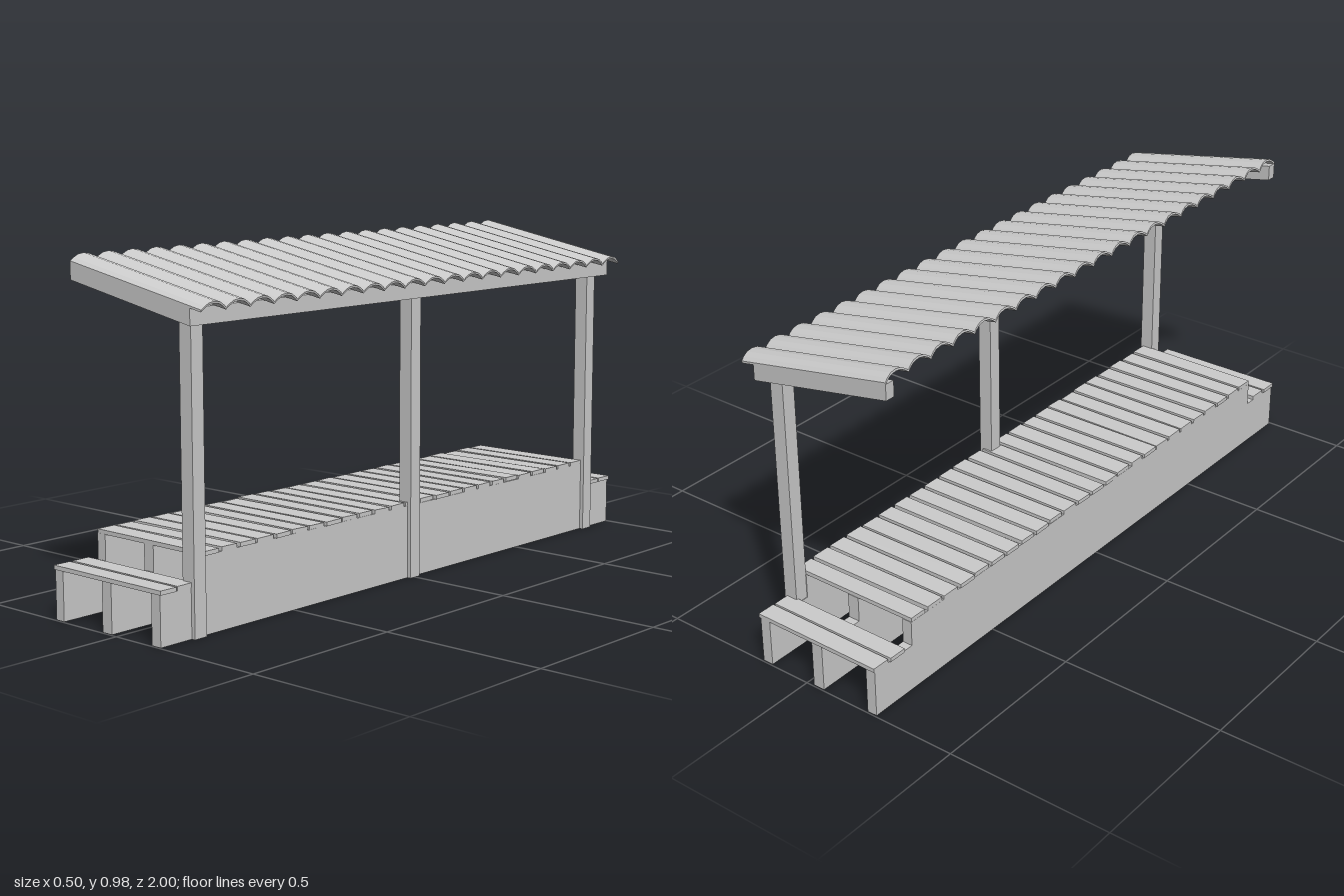
import * as THREE from 'three';

const material = new THREE.MeshStandardMaterial({ color: 0xcccccc, flatShading: true });

// small seeded generator, returns -1..1
let seed = 7;
function jitter() {
  seed = (seed * 16807) % 2147483647;
  return (seed / 2147483647) * 2 - 1;
}

function add(parent, name, geometry) {
  const mesh = new THREE.Mesh(geometry, material);
  mesh.name = name;
  parent.add(mesh);
  return mesh;
}

// box given by its limits on each axis
function box(parent, name, x0, x1, y0, y1, z0, z1) {
  const mesh = add(parent, name, new THREE.BoxGeometry(x1 - x0, y1 - y0, z1 - z0));
  mesh.position.set((x0 + x1) / 2, (y0 + y1) / 2, (z0 + z1) / 2);
  return mesh;
}

// outline extruded by depth
function extrude(points, depth) {
  const shape = new THREE.Shape(points.map(([x, y]) => new THREE.Vector2(x, y)));
  return new THREE.ExtrudeGeometry(shape, { depth, bevelEnabled: false });
}

// slightly uneven board lying across the stringers
function plank(parent, name, y, z, width, x1) {
  const board = box(parent, name, -0.247 + jitter() * 0.003, x1 + jitter() * 0.003,
    y, y + 0.012, z - width / 2, z + width / 2);
  board.position.y += jitter() * 0.001;
  board.rotation.set(jitter() * 0.02, jitter() * 0.008, jitter() * 0.003);
}

const SLOPE = -0.193;
// sloped timber between x0 and x1, following the roof pitch
function slopedBeam(parent, name, x0, x1, z0, z1) {
  const low = (x) => 0.91 + SLOPE * (x + 0.25);
  const outline = [[x0, low(x0)], [x1, low(x1)], [x1, low(x1) + 0.046], [x0, low(x0) + 0.046]];
  add(parent, name, extrude(outline, z1 - z0)).position.z = z0;
}

export function createModel() {
  const model = new THREE.Group();
  model.name = 'coveredWalkway';

  // stepped stringers running the full length
  const base = new THREE.Group();
  base.name = 'stringers';
  model.add(base);
  const step = [[-0.995, 0], [0.995, 0], [0.995, 0.14], [0.845, 0.14],
    [0.845, 0.214], [-0.845, 0.214], [-0.845, 0.14], [-0.995, 0.14]];
  for (const [x0, x1] of [[-0.245, -0.214], [-0.058, -0.022], [0.132, 0.165]]) {
    const stringer = add(base, 'stringer', extrude(step, x1 - x0));
    stringer.rotation.y = -Math.PI / 2;
    stringer.position.x = x1;
  }

  // deck planks
  const deck = new THREE.Group();
  deck.name = 'deck';
  model.add(deck);
  const count = 25, pitch = 1.7 / count;
  for (let i = 0; i < count; i++) {
    const z = -0.85 + (i + 0.5) * pitch;
    plank(deck, 'deckPlank', 0.214, z, 0.058 + jitter() * 0.003, 0.166);
  }

  // two planks on the step at each end
  for (const side of [-1, 1]) {
    plank(deck, 'stepPlank', 0.14, side * 0.97, 0.056, 0.168);
    plank(deck, 'stepPlank', 0.14, side * 0.907, 0.056, 0.168);
  }

  // posts
  for (const z of [-0.865, 0, 0.865]) {
    box(model, 'post', 0.134, 0.177, 0, 0.845, z - 0.021, z + 0.021);
  }

  // roof timbers
  slopedBeam(model, 'roofBeam', 0.168, 0.205, -0.885, 0.885);
  slopedBeam(model, 'rafter', -0.25, 0.205, 0.885, 0.915);
  slopedBeam(model, 'rafter', -0.25, 0.205, -0.915, -0.885);

  // corrugated roof sheet: a row of faceted humps given a thin section
  const waves = 21, width = 1.83 / waves;
  const hump = [[0, 0], [0.12, 0.009], [0.28, 0.017], [0.5, 0.02], [0.72, 0.017], [0.88, 0.009]];
  const top = [];
  for (let i = 0; i < waves; i++) {
    for (const [t, h] of hump) top.push([-0.915 + (i + t) * width, h]);
  }
  top.push([0.915, 0]);
  const under = top.map(([z, h]) => [z, h - 0.006]).reverse();
  const roof = add(model, 'corrugatedRoof', extrude([...under, ...top], 0.505));
  const s = Math.sin(0.188), c = Math.cos(0.188);
  roof.geometry.applyMatrix4(new THREE.Matrix4().makeBasis(
    new THREE.Vector3(0, 0, 1), new THREE.Vector3(s, c, 0), new THREE.Vector3(-c, s, 0)
  ).setPosition(0.247, 0.866, 0));

  return model;
}
